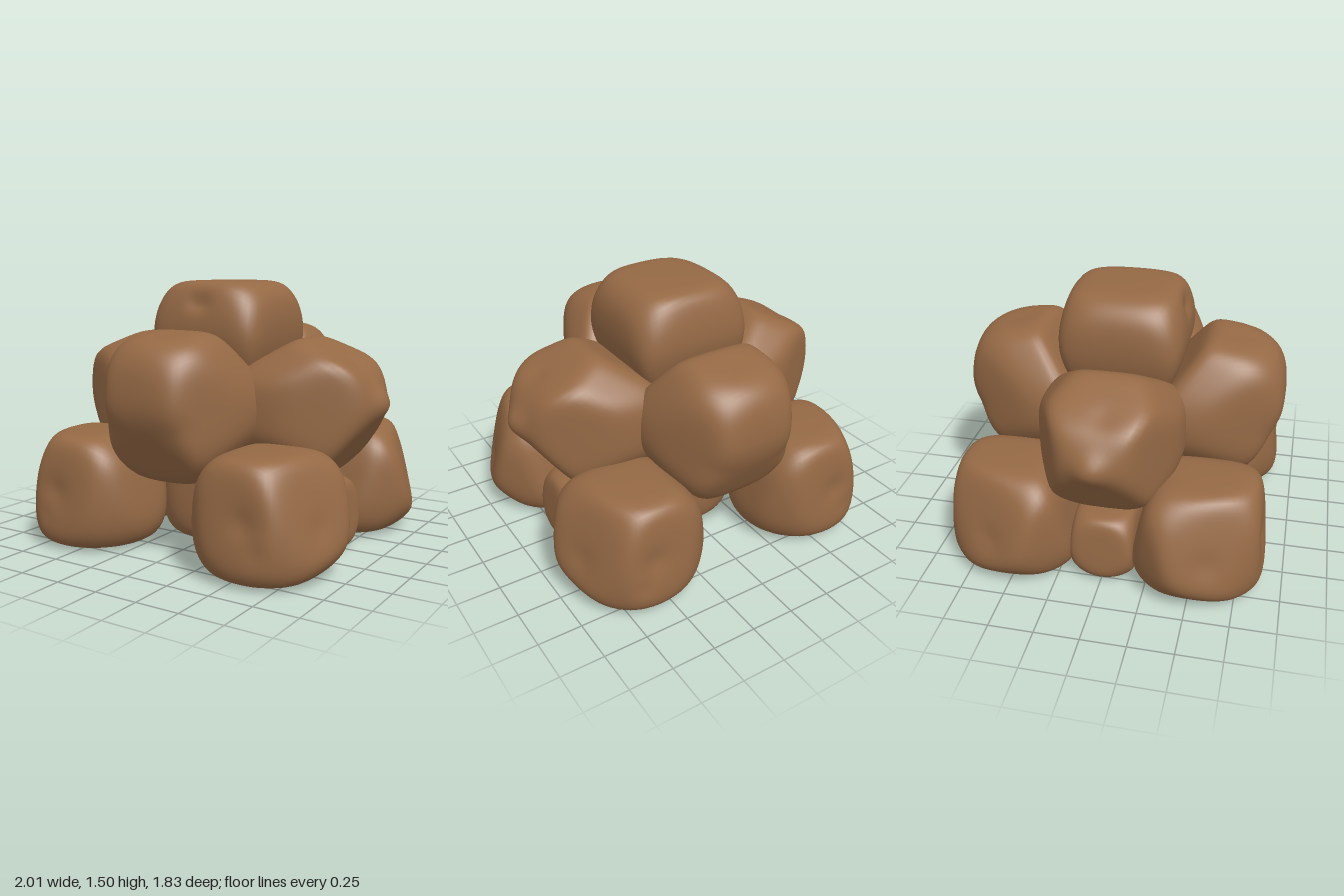
import * as THREE from 'three';
import { mergeVertices } from 'three/addons/utils/BufferGeometryUtils.js';

const stone = new THREE.MeshStandardMaterial({ color: 0x956945 });
stone.name = 'brown stone';

// A rounded boulder: soft intersection of a ball of radius `cap` and facets
// [nx, ny, nz, distance], with dents [dx, dy, dz, depth, width].
const SHARPNESS = 15;
function boulder(name, centre, { cap, facets, dents = [] }, sx = 1, sz = 1) {
  const flip = ([x, y, z, ...rest]) =>
    [new THREE.Vector3(x * sx, y, z * sz).normalize(), ...rest];
  const planes = facets.map(flip);
  const hollows = dents.map(flip);

  let geo = new THREE.IcosahedronGeometry(1, 16);
  geo.deleteAttribute('normal');
  geo.deleteAttribute('uv');
  geo = mergeVertices(geo, 1e-4);
  const pos = geo.attributes.position;
  const d = new THREE.Vector3();
  for (let i = 0; i < pos.count; i++) {
    d.fromBufferAttribute(pos, i).normalize();
    let sum = (1 / cap) ** SHARPNESS;
    for (const [n, dist] of planes) sum += Math.max(0, n.dot(d) / dist) ** SHARPNESS;
    let r = sum ** (-1 / SHARPNESS);
    for (const [dir, depth, width] of hollows) {
      r -= depth * Math.exp(-d.distanceToSquared(dir) / (width * width));
    }
    d.multiplyScalar(r);
    pos.setXYZ(i, d.x, d.y, d.z);
  }
  geo.computeVertexNormals();
  const mesh = new THREE.Mesh(geo, stone);
  mesh.name = name;
  mesh.position.set(centre[0] * sx, centre[1], centre[2] * sz);
  return mesh;
}

// Facets mirrored to both sides of x or z
const bothX = (x, y, z, dist) => [[x, y, z, dist], [-x, y, z, dist]];
const bothZ = (x, y, z, dist) => [[x, y, z, dist], [x, y, -z, dist]];

const corner = {
  cap: 0.448,
  facets: [
    [0, -1, 0, 0.318], [0, 1, 0, 0.33],
    [0, 0.2, -1, 0.335], [0, 0.1, 1, 0.35], [-1, 0.2, 0, 0.367],
    [1, 0.3, 0.35, 0.318], [1, 0, -0.9, 0.405], [1, -1, 0, 0.42],
    [1, 0, 1, 0.38], [-1, 0, 1, 0.42], [-1, 0, -1, 0.4],
    [-1, 1, 0, 0.385], [1, 1, 0, 0.395], [0, 1, -1, 0.385], [1, 1, 1, 0.41],
  ],
  dents: [[0.1, 0.05, 1, 0.02, 0.25], [0.3, -0.35, 1, 0.01, 0.15], [1, -0.1, 0.2, 0.012, 0.25]],
};

const end = {
  cap: 0.485,
  facets: [
    [0, 1, 0.12, 0.418], [0, 0.05, 1, 0.428], [0, -0.56, 1, 0.38], [0, -1, 0.1, 0.425],
    [0, 0.6, -0.8, 0.275], [0, 0, -1, 0.3], [0, -0.6, -0.8, 0.34],
    ...bothX(1, 0, 0.48, 0.385), ...bothX(1, 0, 0, 0.437),
    ...bothX(1, 0.6, 0, 0.42), ...bothX(1, -0.8, 0, 0.415),
  ],
  dents: [[0.5, -0.2, 0.8, 0.012, 0.2], [-0.5, -0.2, 0.8, 0.012, 0.2], [0, 1, 0.4, 0.008, 0.2]],
};

const side = {
  cap: 0.52,
  facets: [
    [1, 0.55, 0, 0.415], [0.45, 1, 0, 0.358], [-0.55, 0.83, 0, 0.345], [1, -0.78, 0, 0.345],
    [0, -1, 0, 0.4], [-1, 0, 0, 0.3],
    ...bothZ(0.54, 0, 1, 0.355), ...bothZ(1, 0, 0.4, 0.43), ...bothZ(0, 0, 1, 0.41),
    ...bothZ(0, 1, 1, 0.405), ...bothZ(0, -1, 1, 0.4),
  ],
  // The first entry is negative: it raises the pointed tip
  dents: [[1, 0.09, 0, -0.037, 0.2], [0.7, 0.7, 0.1, 0.01, 0.2]],
};

const top = {
  cap: 0.46,
  facets: [
    [0, 1, 0, 0.324], [0, -1, 0, 0.3],
    ...bothX(1, 0.05, 0, 0.372), ...bothX(1, 1, 0, 0.42), ...bothX(1, -0.4, 0, 0.355),
    ...bothZ(0, 0.05, 1, 0.372), ...bothZ(0, 0.35, 1, 0.402), ...bothZ(0, -0.4, 1, 0.345),
  ],
  dents: [[0, 0.62, 1, 0.015, 0.15], [0.12, 0.62, 1, 0.01, 0.12], [-0.12, 0.62, 1, 0.01, 0.12]],
};

const core = {
  cap: 0.45,
  facets: [
    [0, 1, 0, 0.3], [0, -1, 0, 0.297], ...bothX(1, 0, 0, 0.39), ...bothZ(0, 0, 1, 0.39),
    ...bothX(1, 0, 1, 0.42), ...bothX(1, 0, -1, 0.42),
  ],
};

const smallStone = {
  cap: 0.25,
  facets: [[0, 1, 0, 0.205], [0, -1, 0, 0.2], ...bothX(1, 0.1, 0, 0.19), ...bothZ(0, 0.05, 1, 0.182)],
};

export function createModel() {
  const pile = new THREE.Group();
  pile.name = 'boulderPile';

  // Ground layer: four corners, a core and two small stones in the side gaps
  for (const sx of [1, -1]) {
    for (const sz of [1, -1]) {
      const name = (sz > 0 ? 'front' : 'back') + (sx > 0 ? 'Left' : 'Right') + 'CornerBoulder';
      pile.add(boulder(name, [0.58, 0.32, 0.53], corner, sx, sz));
    }
    pile.add(boulder(sx > 0 ? 'leftSmallStone' : 'rightSmallStone', [0.605, 0.2, 0], smallStone, sx));
  }
  pile.add(boulder('coreBoulder', [0, 0.3, 0], core));

  // Middle layer: one boulder on each side
  for (const s of [1, -1]) {
    pile.add(boulder(s > 0 ? 'frontMiddleBoulder' : 'backMiddleBoulder', [0, 0.83, 0.5], end, 1, s));
    pile.add(boulder(s > 0 ? 'leftMiddleBoulder' : 'rightMiddleBoulder', [0.55, 0.81, 0], side, s));
  }

  // Capstone
  pile.add(boulder('topBoulder', [0, 1.18, 0], top));
  return pile;
}
